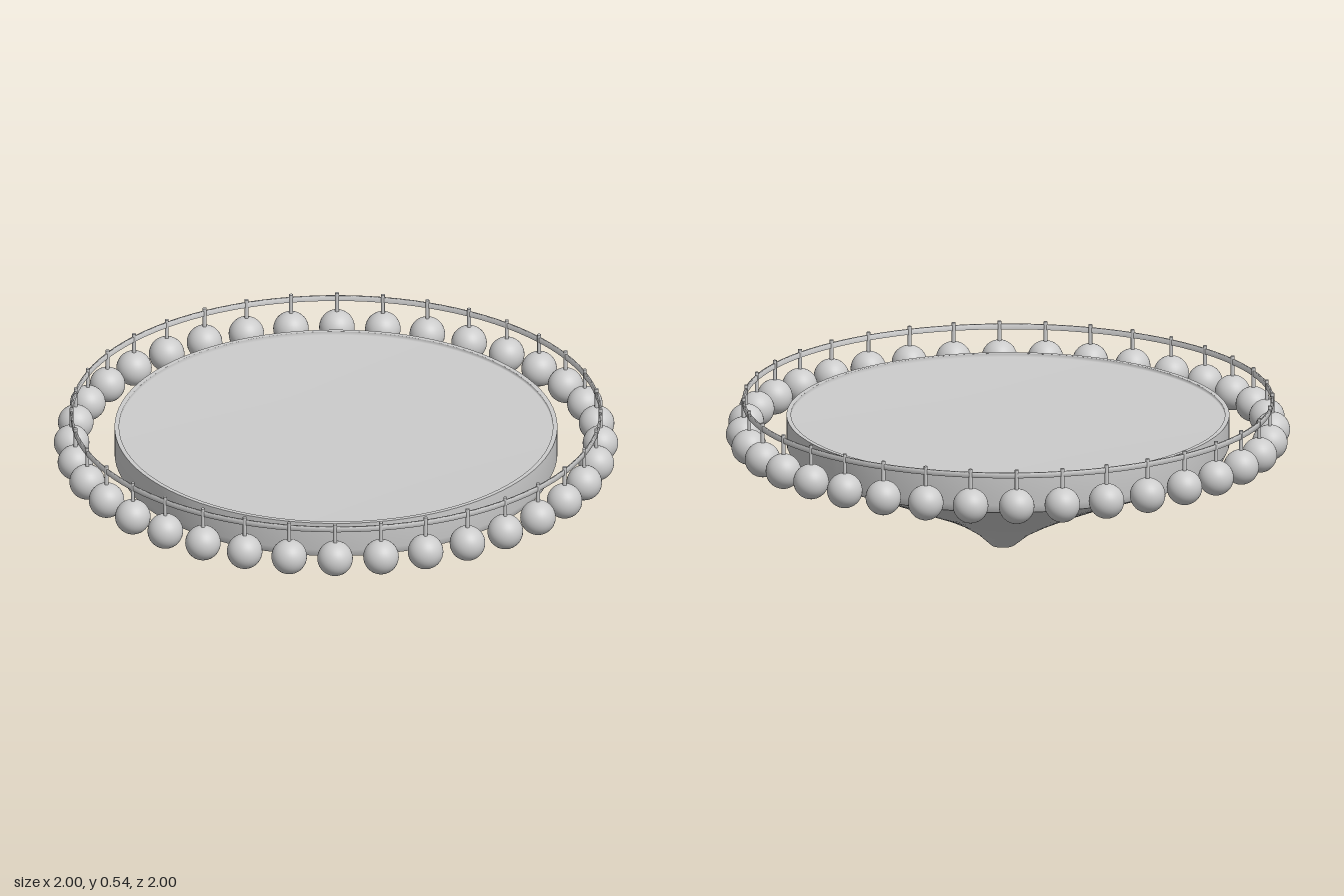
import * as THREE from 'three';

const COUNT = 36, RING_RADIUS = 0.936;

// Stack of rings [y, radius, centreX, centreZ], closed at the first one.
function loftRings(rings, sides) {
  const pos = [], index = [], row = sides + 1;
  for (const [y, r, cx, cz] of rings) {
    for (let i = 0; i <= sides; i++) {
      const a = (i / sides) * Math.PI * 2;
      pos.push(cx + r * Math.sin(a), y, cz + r * Math.cos(a));
    }
  }
  for (let j = 0; j < rings.length - 1; j++) {
    for (let i = 0; i < sides; i++) {
      const a = j * row + i, b = a + 1, c = a + row, d = c + 1;
      index.push(a, b, d, a, d, c);
    }
  }
  const g = new THREE.BufferGeometry();
  g.setAttribute('position', new THREE.Float32BufferAttribute(pos, 3));
  g.setIndex(index);
  g.computeVertexNormals();
  return g;
}

export function createModel() {
  const group = new THREE.Group();
  const material = new THREE.MeshStandardMaterial({ color: 0xcccccc, side: THREE.DoubleSide });
  const add = (name, geometry, parent = group) => {
    const mesh = new THREE.Mesh(geometry, material);
    mesh.name = name;
    parent.add(mesh);
    return mesh;
  };
  const lathe = (points, sides) =>
    new THREE.LatheGeometry(points.map(([x, y]) => new THREE.Vector2(x, y)), sides);

  // Shallow plate top, softly shaded into its thin lip
  add('plateTop', lathe([[0.768, 0.465], [0.768, 0.452], [0, 0.45]].reverse(), 96));
  add('plateLip', lathe([[0.784, 0.465], [0.768, 0.465]], 96));
  add('plateWall', lathe([[0.77, 0.33], [0.784, 0.36], [0.784, 0.465]], 96));

  // Flared underside leaning towards an off-centre tip
  add('underside', loftRings([
    [0, 0.001, 0.04, -0.03],
    [0, 0.042, 0.04, -0.03],
    [0.05, 0.095, 0.045, -0.045],
    [0.1, 0.17, 0.05, -0.065],
    [0.14, 0.25, 0.05, -0.07],
    [0.185, 0.36, 0.05, -0.06],
    [0.22, 0.465, 0.03, -0.03],
    [0.25, 0.555, 0.012, -0.015],
    [0.29, 0.665, 0.004, -0.004],
    [0.33, 0.77, 0, 0],
  ], 72));

  // Thin hoop above the plate
  const r = RING_RADIUS;
  add('hoop', lathe([
    [r - 0.004, 0.506], [r + 0.004, 0.506], [r + 0.004, 0.525], [r - 0.004, 0.525], [r - 0.004, 0.506],
  ], 108));

  // Balls hanging from the hoop on short rods
  const ball = new THREE.SphereGeometry(0.063, 32, 20);
  const rod = new THREE.CylinderGeometry(0.007, 0.007, 0.1, 10);
  for (let i = 0; i < COUNT; i++) {
    const a = (i / COUNT) * Math.PI * 2;
    const pendant = new THREE.Group();
    pendant.name = 'pendant';
    pendant.position.set(r * Math.sin(a), 0, r * Math.cos(a));
    pendant.rotation.y = a;
    add('ball', ball, pendant).position.y = 0.402;
    add('rod', rod, pendant).position.y = 0.486;
    group.add(pendant);
  }
  return group;
}
